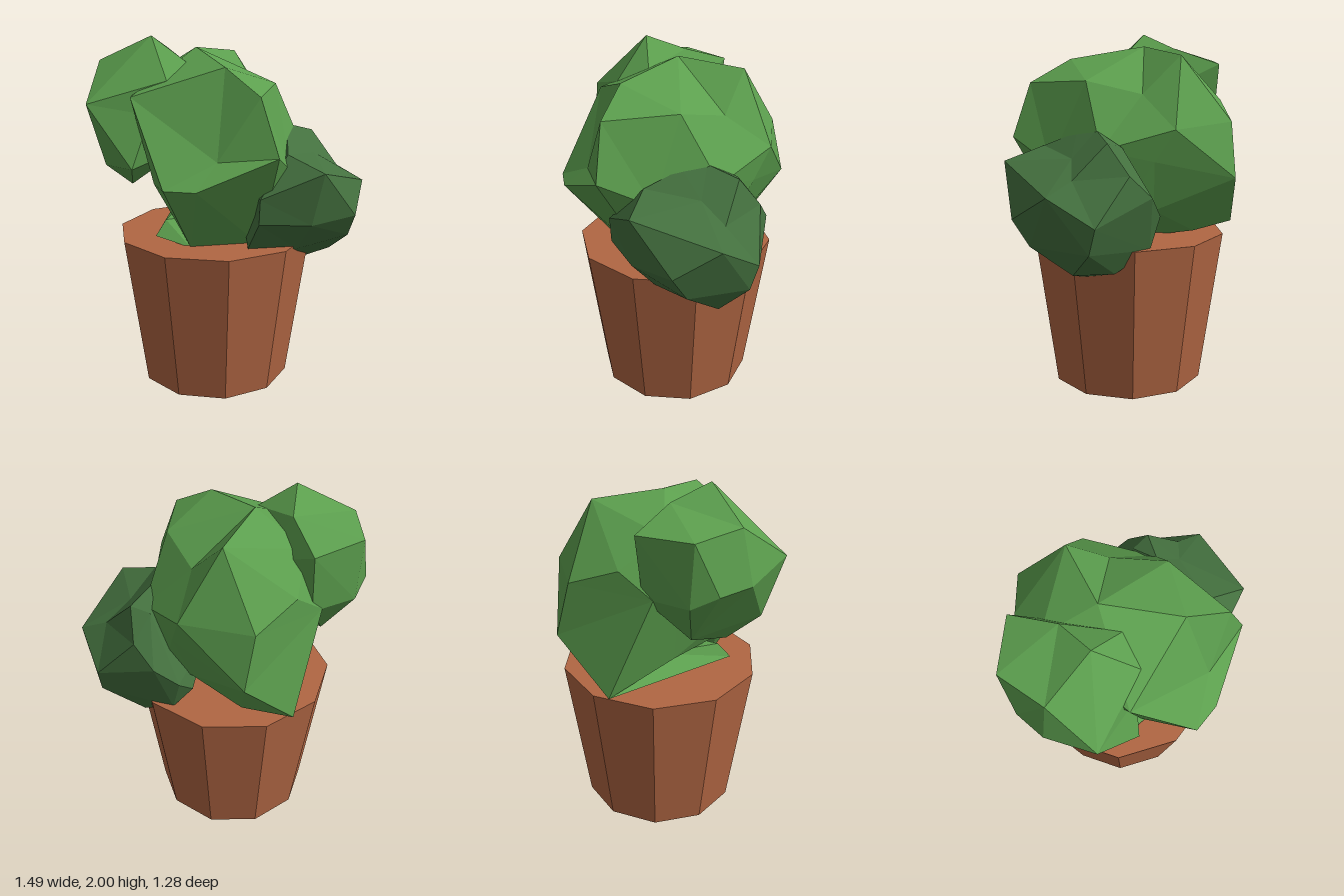
import * as THREE from 'three';
import { ConvexGeometry } from 'three/addons/geometries/ConvexGeometry.js';

// Faceted lump: corners are joined as seen from the centre, so dents are kept
function lump(name, material, center, corners) {
  const c = new THREE.Vector3(...center);
  const pts = corners.map((p) => new THREE.Vector3(...p));
  const dirs = pts.map((p) => p.clone().sub(c).normalize());
  const geo = new ConvexGeometry(dirs);
  const pos = geo.attributes.position;
  const v = new THREE.Vector3();
  for (let i = 0; i < pos.count; i++) {
    v.fromBufferAttribute(pos, i);
    let best = 0;
    dirs.forEach((d, j) => { if (d.dot(v) > dirs[best].dot(v)) best = j; });
    pos.setXYZ(i, pts[best].x, pts[best].y, pts[best].z);
  }
  geo.computeVertexNormals();
  const mesh = new THREE.Mesh(geo, material);
  mesh.name = name;
  return mesh;
}

function mat(name, color) {
  const m = new THREE.MeshStandardMaterial({ color, flatShading: true });
  m.name = name;
  return m;
}

export function createModel() {
  const group = new THREE.Group();
  group.name = 'pottedBush';
  const terracotta = mat('terracotta', 0xb16643);
  const leafGreen = mat('leafGreen', 0x5c9f4e);
  const darkGreen = mat('darkGreen', 0x44713f);

  // Ten-sided tapered pot
  const pot = new THREE.Mesh(
    new THREE.CylinderGeometry(0.561, 0.438, 0.88, 10, 1, false, Math.PI / 10), terracotta);
  pot.name = 'pot';
  pot.position.set(-0.028, 0.44, -0.043);
  group.add(pot);

  // Large main clump
  group.add(lump('mainFoliage', leafGreen, [-0.02, 1.38, -0.02], [
    // crown
    [-0.09, 1.93, -0.14], [-0.12, 1.86, 0.28], [0.24, 1.885, -0.31], [0.23, 1.75, 0.2],
    [0.28, 1.68, -0.1], [-0.035, 1.73, 0.51], [-0.55, 1.7, 0.02], [-0.2, 1.78, -0.42],
    // middle
    [0.02, 1.43, 0.61], [-0.24, 1.4, 0.43], [-0.385, 1.27, 0.48], [-0.52, 1.27, 0.375],
    [0.48, 1.51, -0.255], [0.44, 1.4, 0.13], [0.25, 1.53, -0.59], [-0.02, 1.63, -0.575],
    [-0.2, 1.5, -0.57], [0.45, 1.34, -0.15], [0.325, 1.23, -0.605], [-0.25, 1.32, -0.36],
    [0.22, 1.3, 0.4], [-0.45, 1.23, 0.08],
    // base
    [0.02, 0.93, -0.645], [0.18, 0.91, -0.4], [0.34, 1.06, -0.16], [0.36, 0.92, 0.1],
    [0.1, 0.86, 0.28], [-0.28, 0.87, 0.18], [-0.33, 1.02, 0.06],
    [-0.2, 1.02, -0.27], [0.02, 0.84, -0.1],
  ]));

  // Low ledge of leaves lying across the rim at the back
  group.add(lump('trailingFoliage', leafGreen, [-0.15, 0.93, -0.12], [
    [-0.43, 0.92, 0.04], [0.02, 0.93, -0.645], [-0.36, 1.0, 0.02], [-0.28, 0.87, 0.18],
    [-0.1, 1.02, -0.25], [0.05, 1.0, 0.05], [0.02, 0.86, 0.0],
  ]));

  // Upper clump at the back
  group.add(lump('upperFoliage', leafGreen, [-0.38, 1.6, -0.27], [
    [-0.35, 2.0, -0.16], [-0.42, 1.84, -0.605], [-0.58, 1.86, -0.37], [-0.19, 1.92, -0.32],
    [-0.11, 1.83, -0.58], [-0.36, 1.78, 0.07], [-0.2, 1.86, -0.02], [-0.745, 1.655, -0.13],
    [-0.65, 1.58, -0.4], [-0.53, 1.56, -0.54], [-0.4, 1.5, -0.6], [-0.14, 1.5, -0.56],
    [-0.45, 1.6, 0.05], [-0.64, 1.31, -0.15], [-0.57, 1.32, 0.07], [-0.47, 1.17, -0.2],
    [-0.35, 1.24, -0.42], [-0.15, 1.35, -0.2], [-0.08, 1.65, -0.2],
  ]));

  // Small dark clump hanging over the rim
  group.add(lump('lowerFoliage', darkGreen, [0.36, 1.1, 0.22], [
    // top
    [0.37, 1.5, 0.15], [0.28, 1.48, 0.25], [0.54, 1.45, 0.1], [0.18, 1.4, 0.43],
    [0.28, 1.33, 0.64], [0.44, 1.36, 0.28], [0.6, 1.27, 0.28], [0.6, 1.29, -0.01],
    [0.47, 1.42, 0.02],
    // sides
    [0.69, 1.2, 0.41], [0.74, 1.05, 0.17], [0.56, 1.17, -0.13], [0.44, 1.05, -0.185],
    [0.52, 1.06, 0.59], [0.24, 1.04, 0.59], [-0.02, 1.19, 0.49], [-0.02, 1.05, 0.48],
    [0.1, 1.2, 0.0], [0.35, 0.98, -0.18],
    // underside
    [0.71, 0.91, 0.2], [0.54, 0.92, 0.5], [0.57, 0.77, 0.28], [0.42, 0.72, 0.22],
    [0.45, 0.87, -0.13], [0.52, 0.76, 0.06], [0.25, 0.86, 0.43], [-0.02, 0.88, 0.36],
    [0.2, 0.88, 0.05],
  ]));

  return group;
}
